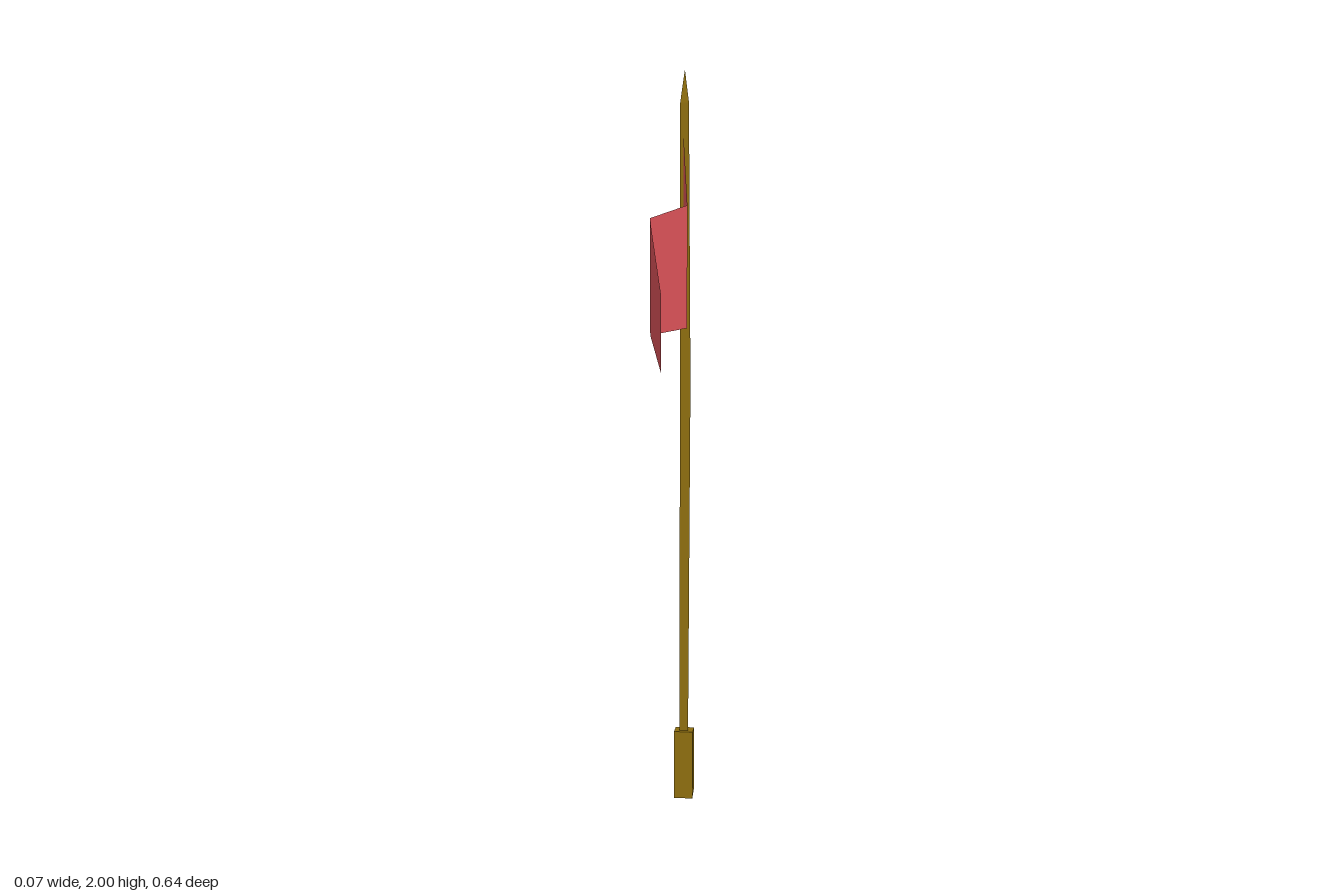
import * as THREE from 'three';

// Skin a list of rings (each an array of [x, y, z], counter-clockwise from above), capping both ends
function loft(rings) {
  const n = rings[0].length, index = [], last = (rings.length - 1) * n;
  for (let r = 0; r < rings.length - 1; r++)
    for (let i = 0; i < n; i++) {
      const a = r * n + i, b = r * n + (i + 1) % n;
      index.push(a, b, b + n, a, b + n, a + n);
    }
  for (let i = 1; i < n - 1; i++) {
    index.push(0, i + 1, i);
    index.push(last, last + i, last + i + 1);
  }
  return facet(rings.flat(), index);
}

function facet(points, index) {
  const g = new THREE.BufferGeometry();
  g.setAttribute('position', new THREE.Float32BufferAttribute(points.flat(), 3));
  g.setIndex(index);
  const flat = g.toNonIndexed();
  flat.computeVertexNormals();
  return flat;
}

export function createModel() {
  const group = new THREE.Group();
  const wood = new THREE.MeshStandardMaterial({ color: 0x947310, flatShading: true, side: THREE.DoubleSide });
  const cloth = new THREE.MeshStandardMaterial({ color: 0xe4565c, flatShading: true, side: THREE.DoubleSide });
  const add = (name, geometry, material) => {
    const mesh = new THREE.Mesh(geometry, material);
    mesh.name = name;
    group.add(mesh);
  };

  // Three-sided pole, slightly uneven, ending in a point: [y, right x, back z]
  const levels = [[0.19, 0.016, -0.300], [1.2, 0.020, -0.303], [1.92, 0.014, -0.304]];
  const rings = levels.map(([y, x, z]) => [[-0.008, y, -0.272], [x, y, -0.272], [x - 0.003, y, z]]);
  const tip = [0.003, 2, -0.28];
  add('pole', loft([...rings, [tip, tip, tip]]), wood);

  // Square grip with a top that slopes down towards the back
  const grip = (yFront, yBack) => [
    [-0.022, yFront, -0.254], [0.03, yFront, -0.254], [0.03, yBack, -0.318], [-0.022, yBack, -0.318],
  ];
  add('grip', loft([grip(0, 0), grip(0.205, 0.19)]), wood);

  // Folded cloth as vertical strips: [x, z, bottom, top]
  const folds = [
    [0, -0.275, 1.455, 1.845],
    [0.035, 0.03, 1.405, 1.70],
    [-0.037, 0.20, 1.42, 1.69],
    [0, 0.32, 1.355, 1.535],
  ];
  const points = folds.flatMap(([x, z, low, high]) => [[x, low, z], [x, high, z]]);
  const index = [];
  for (let i = 0; i < folds.length - 1; i++) {
    const a = i * 2;
    index.push(a, a + 1, a + 3, a, a + 3, a + 2);
  }
  add('flag', facet(points, index), cloth);
  return group;
}
